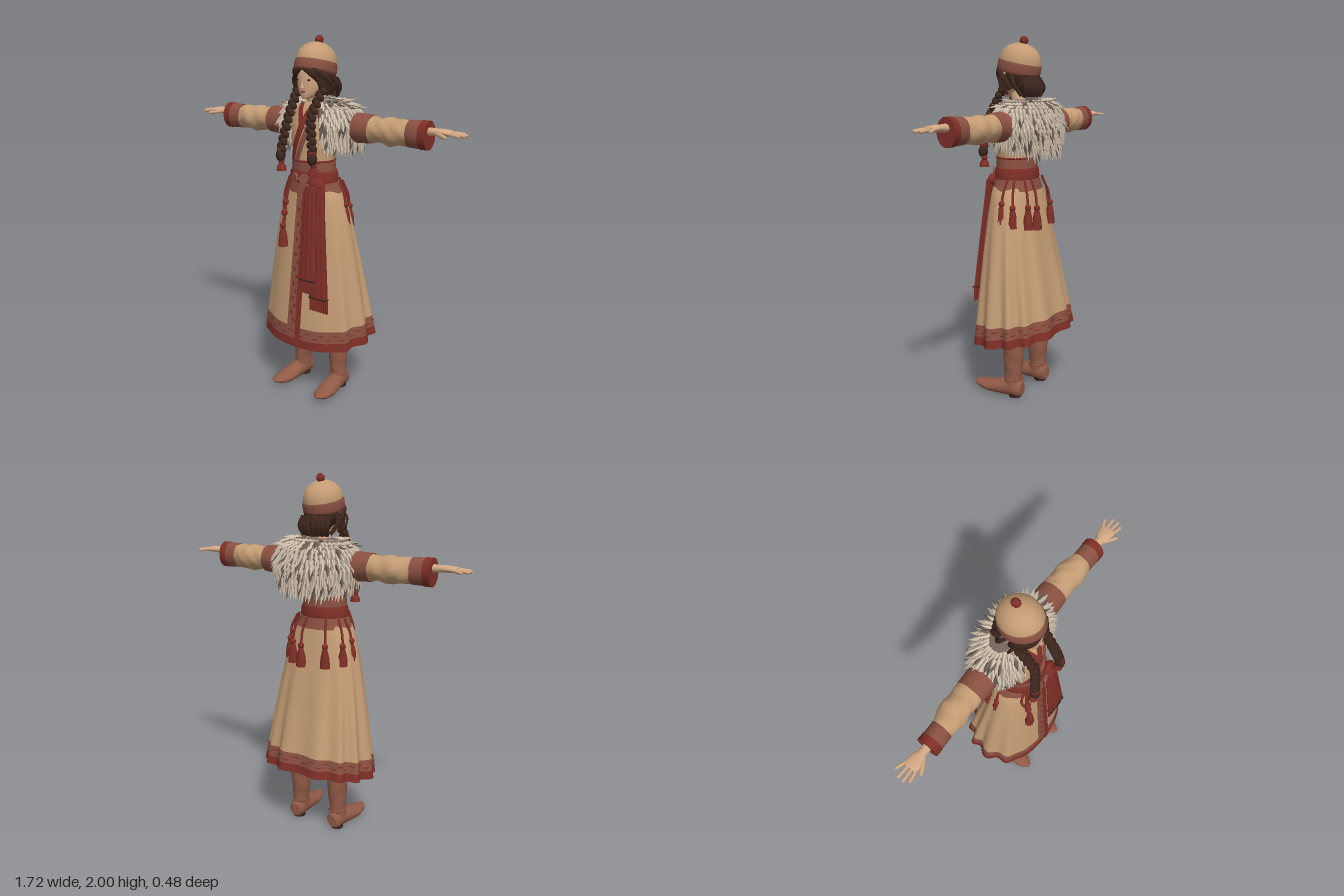
import * as THREE from 'three';
import { mergeGeometries } from 'three/addons/utils/BufferGeometryUtils.js';

const V = (x, y, z) => new THREE.Vector3(x, y, z);
const lerp = THREE.MathUtils.lerp, sstep = THREE.MathUtils.smoothstep;
const mat = (name, color) => Object.assign(new THREE.MeshStandardMaterial({ color, side: THREE.DoubleSide }), { name });
// Join geometries; texture coordinates are dropped so that all kinds can be joined
const merge = list => mergeGeometries(list.map(g => g.deleteAttribute('uv')));

// Grid surface from f(u, v); u runs counter-clockwise seen from above, v runs up
function surf(f, nu, nv, closed = false) {
  const pos = [], idx = [], w = closed ? nu : nu + 1;
  for (let j = 0; j <= nv; j++) for (let i = 0; i < w; i++) pos.push(...f(i / nu, j / nv));
  for (let j = 0; j < nv; j++) for (let i = 0; i < nu; i++) {
    const a = j * w + i, b = j * w + (i + 1) % w;
    idx.push(a, b, b + w, a, b + w, a + w);
  }
  const g = new THREE.BufferGeometry();
  g.setAttribute('position', new THREE.Float32BufferAttribute(pos, 3));
  g.setIndex(idx);
  g.computeVertexNormals();
  return g;
}
// Elliptical rings [y, x, z, rx, rz] joined into a capped solid
function tube(rows, n = 24, mod = () => 1) {
  const a = rows[0], b = rows[rows.length - 1], tiny = 1e-4;
  const r = [[a[0], a[1], a[2], tiny, tiny], a, ...rows, b, [b[0], b[1], b[2], tiny, tiny]];
  return surf((u, v) => {
    const [y, x, z, rx, rz] = r[Math.round(v * (r.length - 1))], t = u * Math.PI * 2, k = mod(t, y);
    return [x + rx * k * Math.sin(t), y, z + rz * k * Math.cos(t)];
  }, n, r.length - 1, true);
}
function rowAt(rows, y) {
  let i = 0;
  while (i < rows.length - 2 && rows[i + 1][0] < y) i++;
  const t = THREE.MathUtils.clamp((y - rows[i][0]) / (rows[i + 1][0] - rows[i][0]), 0, 1);
  return rows[i].map((q, k) => lerp(q, rows[i + 1][k], t));
}
const dense = (rows, n) => Array.from({ length: n + 1 }, (_, i) => rowAt(rows, lerp(rows[0][0], rows[rows.length - 1][0], i / n)));
const ball = (x, y, z, rx, ry = rx, rz = rx) => new THREE.SphereGeometry(1, 16, 12).scale(rx, ry, rz).translate(x, y, z);
function limb(p, q, r) {
  const d = q.clone().sub(p), g = new THREE.CapsuleGeometry(r, d.length(), 4, 8);
  g.applyQuaternion(new THREE.Quaternion().setFromUnitVectors(V(0, 1, 0), d.clone().normalize()));
  return g.translate(...p.clone().add(q).multiplyScalar(0.5).toArray());
}
const path = (pts, r, n = 14) => new THREE.TubeGeometry(new THREE.CatmullRomCurve3(pts.map(p => V(...p))), n, r, 7);
function mirror(geo) {
  const g = geo.clone().scale(-1, 1, 1), ix = g.index.array;
  for (let i = 0; i < ix.length; i += 3) [ix[i], ix[i + 1]] = [ix[i + 1], ix[i]];
  return g;
}

// Skirt: flared superellipse with folds growing to the hem, t = 0 waist, 1 hem
const E = 2.3, skirtR = t => [0.155 + 0.17 * t ** 0.65, 0.112 + 0.122 * t, 0.045 * (1 - t)];
function skirt(a, t, grow = 1) {
  const s = Math.sin(a), c = Math.cos(a), [rx, rz, cz] = skirtR(t);
  const side = sstep(Math.acos(c), 0.45, 1.3);
  const k = grow * (1 + 0.055 * side * t * Math.cos(13 * a + 0.9 * Math.sin(3 * a)));
  return [rx * k * Math.sign(s) * Math.abs(s) ** (2 / E), lerp(1.2, 0.345 - 0.035 * c, t),
    cz + rz * k * Math.sign(c) * Math.abs(c) ** (2 / E)];
}
const skirtPart = (t0, t1, nv) => surf((u, v) => skirt(u * Math.PI * 2, lerp(t1, t0, v)), 168, nv, true);
function skirtZ(x, t) {
  const [rx, rz, cz] = skirtR(t);
  return cz + rz * (1 - Math.abs(x / rx) ** E) ** (1 / E);
}
const skirtY = t => lerp(1.2, 0.31, t);
const panel = (x0, x1, t0, t1, off, skew = 0) => surf((u, v) => {
  const t = lerp(t1, t0, v), x = lerp(x0, x1, u) + skew * (1 - t);
  return [x, skirtY(t), skirtZ(x, t) + off];
}, 4, 24);

// Torso rings [y, x, z, rx, rz]
const torso = [[1.3, 0, 0.05, 0.118, 0.1], [1.38, 0, 0.05, 0.118, 0.102], [1.46, 0, 0.045, 0.132, 0.108],
  [1.55, 0, 0.04, 0.15, 0.105], [1.62, 0, 0.03, 0.13, 0.085], [1.66, 0, 0.035, 0.055, 0.05]];
function lapel(x0, y0, x1, y1, w, off) {
  return surf((u, v) => {
    const y = lerp(y0, y1, v), x = lerp(x0, x1, v) + (u - 0.5) * w, [, , cz, rx, rz] = rowAt(torso, y);
    return [x, y, cz + rz * Math.sqrt(Math.max(0, 1 - (x / rx) ** 2)) + off];
  }, 4, 14);
}

// Fur cape surface, v = 0 lower edge, 1 neck
const furRows = [[0, 0.9, 0], [0.35, 1, 0.45], [0.7, 0.84, 0.85], [0.88, 0.6, 0.98], [1, 0.3, 1.02]];
function fur(a, v) {
  const [, r, h] = rowAt(furRows, v), c = Math.cos(a);
  const low = c > 0 ? 1.45 - 0.02 * c : 1.45 + 0.06 * c;
  return V(0.268 * r * Math.sin(a), lerp(low, 1.665, h), -0.025 + 0.16 * r * c);
}
function tuft(a, v, len, wide) {
  const p = fur(a, v), e = 0.02;
  const du = fur(a + e, v).sub(fur(a - e, v)).normalize();
  const dn = fur(a, Math.max(0, v - e)).sub(fur(a, Math.min(1, v + e))).normalize();
  const out = dn.clone().cross(du).normalize();
  const dir = dn.addScaledVector(out, 0.42).normalize();
  const x = du.addScaledVector(dir, -du.dot(dir)).normalize();
  const g = new THREE.ConeGeometry(wide, len, 4, 1, true).scale(1, 1, 0.45).translate(0, len * 0.3, 0);
  g.applyMatrix4(new THREE.Matrix4().makeBasis(x, dir, x.clone().cross(dir)));
  return g.translate(p.x, p.y, p.z);
}

// Hanging tassel: knob and a ribbed skirt of thread
const tassel = (x, y, z, len) => merge([ball(x, y, z, 0.017),
  tube([[y - len, x, z, 0.027, 0.025], [y - len * 0.5, x, z, 0.023, 0.021], [y - 0.01, x, z, 0.011, 0.011]], 20,
    t => 1 + 0.1 * Math.cos(10 * t))]);

export function createModel() {
  const root = new THREE.Group();
  root.name = 'woman';
  const tan = mat('tanCloth', 0xc49c74), brown = mat('brownTrim', 0x8a5142), red = mat('redCloth', 0x7f2f27),
    skin = mat('skin', 0xd3a884), hair = mat('darkHair', 0x3d261d), cream = mat('creamFur', 0xdccbb6),
    taupe = mat('furShade', 0x75645a), boot = mat('bootLeather', 0x915a46), ink = mat('darkDetail', 0x34221c);
  const add = (name, geo, m) => {
    const mesh = new THREE.Mesh(Array.isArray(geo) ? merge(geo) : geo, m);
    mesh.name = name;
    root.add(mesh);
    return mesh;
  };
  const pair = (name, geo, m) => {
    const g = Array.isArray(geo) ? merge(geo) : geo;
    add(name + 'Left', g, m);
    add(name + 'Right', mirror(g), m);
  };
  let seed = 7;
  const rnd = () => (seed = (seed * 16807) % 2147483647) / 2147483647;

  // Skirt, hem bands and front opening
  add('skirt', skirtPart(0, 0.87, 26), tan);
  add('hemBand', skirtPart(0.87, 0.945, 4), brown);
  add('hemTrim', skirtPart(0.945, 1, 3), red);
  add('placket', panel(-0.062, 0, 0, 0.87, 0.004, 0.035), brown);
  add('placketEdge', panel(0, 0.036, 0, 0.995, 0.007, 0.012), red);
  const marks = [];
  for (let i = 0; i < 44; i++) {
    const a = (i + 0.5) / 44 * Math.PI * 2, t = i % 2 ? 0.893 : 0.918;
    marks.push(surf((u, v) => skirt(a + (u - 0.5) * 0.1, t + 0.008 - v * 0.008, 1.008), 4, 1));
  }
  for (let i = 0; i < 17; i++) {
    const t = 0.06 + i * 0.047, x = (i % 2 ? -0.045 : -0.027) + 0.035 * (1 - t);
    marks.push(panel(x, x + 0.016, t, t + 0.022, 0.007));
  }
  add('trimPattern', marks, red);

  // Torso, crossed lapels, waistband, belt
  add('torso', tube(torso, 32), tan);
  add('innerLapel', lapel(0.0, 1.53, -0.05, 1.655, 0.035, 0.006), red);
  add('lapel', lapel(-0.075, 1.36, 0.04, 1.655, 0.04, 0.008), red);
  add('lapelBand', lapel(-0.035, 1.36, 0.075, 1.63, 0.035, 0.006), brown);
  add('waistband', tube([[1.28, 0, 0.048, 0.126, 0.107], [1.33, 0, 0.05, 0.124, 0.108], [1.36, 0, 0.05, 0.12, 0.107]], 32), brown);
  add('waistPiping', new THREE.TorusGeometry(1, 0.045, 6, 40).rotateX(Math.PI / 2).scale(0.12, 0.12, 0.107).translate(0, 1.355, 0.05), red);
  add('belt', tube([[1.235, 0, 0.048, 0.139, 0.112], [1.25, 0, 0.048, 0.142, 0.116], [1.285, 0, 0.048, 0.136, 0.114], [1.3, 0, 0.048, 0.13, 0.11]], 32), red);
  add('hipYoke', tube([[1.18, 0, 0.042, 0.168, 0.123], [1.21, 0, 0.045, 0.155, 0.118], [1.24, 0, 0.047, 0.141, 0.113]], 32), brown);
  pair('beltDisc', new THREE.CylinderGeometry(0.026, 0.026, 0.014, 18).rotateX(Math.PI / 2).rotateY(0.4).translate(0.03, 1.268, 0.178), brown);

  // Sash tails with fringes
  const tail = (x0, x1, tEnd, w0, w1, off) => {
    const rows = [], fringe = [];
    for (let i = 0; i <= 14; i++) {
      const k = 1 - i / 14, t = tEnd * k, x = lerp(x0, x1, k);
      rows.push([skirtY(t) + 0.03 * (1 - k), x, skirtZ(x, t) + off, lerp(w0, w1, k), 0.014]);
    }
    const [y, x, z, w] = rows[0];
    for (let i = 0; i < 9; i++) {
      const fx = x + (i / 4 - 1) * w * 0.92;
      fringe.push(limb(V(fx, y, z), V(fx * 1.01, y - 0.06, z + 0.002), 0.007));
    }
    add('sashTail', tube(rows, 48, a => 1 + 0.13 * Math.cos(9 * a)), red);
    add('sashFringe', fringe, red);
    add('sashLine', new THREE.BoxGeometry(w * 1.9, 0.007, 0.034).translate(x, y + 0.012, z), ink);
  };
  tail(0.11, 0.145, 0.66, 0.03, 0.058, 0.012);
  tail(0.075, 0.088, 0.55, 0.035, 0.05, 0.026);
  add('sashKnot', ball(0.09, 1.235, 0.14, 0.05, 0.035, 0.025), red);

  // Cords and tassels hung from the belt
  add('frontCord', [path([[-0.085, 1.26, 0.145], [-0.105, 1.16, 0.155], [-0.11, 1, 0.18]], 0.009),
    path([[-0.1, 1.26, 0.135], [-0.13, 1.17, 0.14], [-0.115, 1.08, 0.17]], 0.007),
    ball(-0.107, 1.12, 0.165, 0.018), ball(-0.11, 1.06, 0.172, 0.018), tassel(-0.112, 0.99, 0.185, 0.12)], red);
  [[0.19, 1.12, 0.02, 0.11], [-0.19, 1.12, 0.02, 0.11], [0.175, 1.1, -0.04, 0.11], [0.115, 1.1, -0.1, 0.12],
    [0.05, 1.09, -0.115, 0.12], [-0.1, 1.1, -0.105, 0.12], [-0.175, 1.1, -0.045, 0.11]].forEach(([x, y, z, l]) =>
    add('hipTassel', [path([[x * 0.78, 1.24, z * 0.62], [x * 0.95, 1.17, z * 0.9], [x, y, z]], 0.007), tassel(x, y, z, l)], red));

  // Fur cape: dark underlayer with overlapping tufts
  const open = 0.36, span = Math.PI * 2 - open * 2;
  add('capeUnderlayer', surf((u, v) => fur(open + u * span, v).toArray(), 48, 14), taupe);
  const light = [], dark = [];
  for (let r = 0; r < 12; r++) {
    const n = Math.round(62 - r * 2.6);
    for (let i = 0; i < n; i++) {
      const a = open + span * (i + (r % 2) * 0.5 + rnd() * 0.4) / n, v = r / 12.3;
      (rnd() < 0.15 ? dark : light).push(tuft(Math.min(a, open + span), v, 0.05 + rnd() * 0.028, 0.014 + rnd() * 0.007));
    }
  }
  add('capeFur', light, cream);
  add('capeFurShade', dark, taupe);

  // Arms run along y, then turn to point sideways
  const arm = g => g.rotateZ(-Math.PI / 2).translate(0, 1.535, 0);
  const sleeve = [[0.1, 0, -0.01, 0.07, 0.07], [0.3, 0, -0.015, 0.072, 0.073], [0.38, 0, -0.017, 0.064, 0.07],
    [0.45, 0.004, -0.015, 0.072, 0.076], [0.52, 0, -0.01, 0.066, 0.066], [0.57, 0, -0.005, 0.058, 0.054]];
  pair('sleeve', arm(tube(dense(sleeve, 30), 28, (a, y) => 1 + 0.05 * sstep(y, 0.3, 0.4) * Math.sin(2 * a + 55 * y) + 0.02 * Math.sin(5 * a - 80 * y))), tan);
  pair('armBand', arm(tube([[0.24, 0, -0.015, 0.079, 0.08], [0.335, 0, -0.016, 0.074, 0.076]])), brown);
  pair('cuff', arm(tube([[0.555, 0, -0.005, 0.069, 0.057], [0.63, 0, -0.003, 0.071, 0.057]])), brown);
  pair('cuffTrim', arm(tube([[0.625, 0, -0.003, 0.073, 0.059], [0.665, 0, -0.003, 0.073, 0.059]])), red);
  const hand = [tube([[0.65, -0.02, 0, 0.022, 0.024], [0.7, -0.021, 0, 0.019, 0.022], [0.73, -0.023, 0, 0.018, 0.034],
    [0.77, -0.023, 0, 0.015, 0.041], [0.79, -0.022, 0, 0.01, 0.036]])].map(arm);
  [[-0.031, -0.05, 0.825], [-0.011, -0.017, 0.85], [0.01, 0.013, 0.852], [0.03, 0.04, 0.835]].forEach(([z0, z1, x]) =>
    hand.push(limb(V(0.775, 1.557, z0), V(x, 1.551, z1), 0.0085)));
  hand.push(limb(V(0.715, 1.552, 0.022), V(0.775, 1.543, 0.056), 0.01));
  pair('hand', hand, skin);

  // Legs and boots with upturned toes
  pair('trouserLeg', tube([[0.44, 0.12, 0, 0.06, 0.062], [0.9, 0.09, 0.02, 0.07, 0.075]]), brown);
  const shaft = [[0.06, 0.133, -0.012, 0.046, 0.052], [0.13, 0.13, -0.01, 0.045, 0.05], [0.2, 0.127, -0.011, 0.052, 0.058],
    [0.3, 0.125, -0.012, 0.059, 0.064], [0.4, 0.123, -0.008, 0.064, 0.067], [0.46, 0.122, -0.005, 0.067, 0.069]];
  const foot = [[-0.072, 0, -0.05, 0.028, 0.035], [-0.058, 0, -0.052, 0.044, 0.05], [0, 0, -0.056, 0.047, 0.055], [0.06, 0, -0.046, 0.05, 0.045],
    [0.13, 0, -0.036, 0.055, 0.034], [0.19, 0, -0.036, 0.044, 0.024], [0.222, 0, -0.041, 0.026, 0.014], [0.238, 0, -0.045, 0.008, 0.005]];
  const place = g => g.rotateX(Math.PI / 2).rotateY(0.09).translate(0.135, 0, 0);
  pair('boot', [tube(dense(shaft, 26), 24, (a, y) => 1 + 0.025 * Math.sin(2 * a + 60 * y)), place(tube(foot))], boot);
  pair('bootStrap', [[0.1, 0.049, 0.055], [0.335, 0.064, 0.068]].map(([y, rx, rz]) =>
    new THREE.TorusGeometry(1, 0.08, 6, 28).rotateX(Math.PI / 2 + 0.15).scale(rx, 0.06, rz).translate(0.127, y, -0.01)), brown);
  pair('heel', new THREE.CylinderGeometry(0.038, 0.036, 0.022, 16).translate(0.133, 0.011, -0.025), ink);

  // Neck, head and face
  add('neck', tube([[1.6, 0, 0.03, 0.05, 0.045], [1.65, 0, 0.035, 0.037, 0.038], [1.73, 0, 0.05, 0.037, 0.04]]), skin);
  add('head', [tube([[1.68, 0, 0.112, 0.016, 0.022], [1.69, 0, 0.1, 0.034, 0.039], [1.71, 0, 0.084, 0.053, 0.058], [1.74, 0, 0.074, 0.068, 0.071],
    [1.78, 0, 0.068, 0.075, 0.079], [1.83, 0, 0.065, 0.076, 0.081], [1.87, 0, 0.06, 0.065, 0.07]], 32),
  new THREE.ConeGeometry(0.011, 0.036, 8).translate(0, 1.757, 0.148)], skin);
  pair('eye', ball(0.03, 1.778, 0.137, 0.014, 0.006, 0.004), ink);
  add('mouth', ball(0, 1.718, 0.141, 0.015, 0.004, 0.004), red);

  // Hair: back mass, parted fringe, loose side loops
  add('hairBack', [ball(0, 1.795, 0.015, 0.096, 0.085, 0.098), ball(0, 1.75, -0.03, 0.085, 0.062, 0.068)], hair);
  const locks = [];
  for (let i = 0; i < 6; i++) {
    const s = i / 5;
    locks.push(path([[0.004 + 0.03 * s, 1.845, 0.142 - 0.008 * s], [0.045 + 0.035 * s, 1.815, 0.138 - 0.03 * s],
      [0.075 + 0.018 * s, 1.775 - 0.01 * s, 0.105 - 0.05 * s], [0.083, 1.72, 0.085 - 0.05 * s]], 0.015));
  }
  locks.push(path([[0.085, 1.81, 0.09], [0.125, 1.77, 0.07], [0.12, 1.72, 0.05], [0.085, 1.7, 0.05]], 0.006),
    path([[0.085, 1.8, 0.03], [0.115, 1.75, -0.01], [0.09, 1.69, -0.04]], 0.01));
  for (let i = 0; i < 4; i++) locks.push(path([[0.08 - i * 0.02, 1.78, -0.04 - i * 0.01], [0.085 - i * 0.022, 1.73, -0.065 - i * 0.01], [0.07 - i * 0.02, 1.685, -0.045 - i * 0.012]], 0.014));
  pair('hairLocks', locks, hair);

  // Braids brought over the shoulders
  const braid = new THREE.CatmullRomCurve3([V(0.083, 1.74, 0.075), V(0.076, 1.67, 0.125), V(0.074, 1.6, 0.17), V(0.09, 1.5, 0.19), V(0.103, 1.42, 0.2)]);
  const knots = [];
  for (let i = 0; i <= 18; i++) {
    const p = braid.getPointAt(i / 18), s = i % 2 ? 1 : -1;
    knots.push(new THREE.SphereGeometry(1, 10, 8).scale(0.017, 0.025, 0.021).rotateZ(s * 0.6).translate(p.x + s * 0.009, p.y, p.z));
  }
  pair('braid', [...knots, ball(0.105, 1.385, 0.203, 0.027, 0.034, 0.027)], hair);
  pair('braidTie', [new THREE.TorusGeometry(0.018, 0.007, 6, 16).rotateX(Math.PI / 2).translate(0.104, 1.417, 0.2), tassel(0.107, 1.35, 0.195, 0.05)], red);

  // Hat, tilted back
  const hat = new THREE.Group();
  hat.name = 'hat';
  hat.position.set(0, 1.808, 0.04);
  hat.rotation.x = -0.22;
  hat.scale.x = 0.88;
  const lathe = pts => new THREE.LatheGeometry(pts.map(p => new THREE.Vector2(...p)), 36);
  hat.add(add('hatBand', lathe([[0.108, 0.004], [0.119, 0], [0.123, 0.015], [0.123, 0.048], [0.117, 0.06]]), brown));
  hat.add(add('hatCrown', lathe([[0.117, 0.055], [0.115, 0.08], [0.104, 0.108], [0.082, 0.133], [0.05, 0.151], [0.02, 0.158], [0.0001, 0.159]]), tan));
  hat.add(add('pompom', new THREE.IcosahedronGeometry(0.025, 1).translate(0, 0.172, 0), red));
  root.add(hat);
  return root;
}
